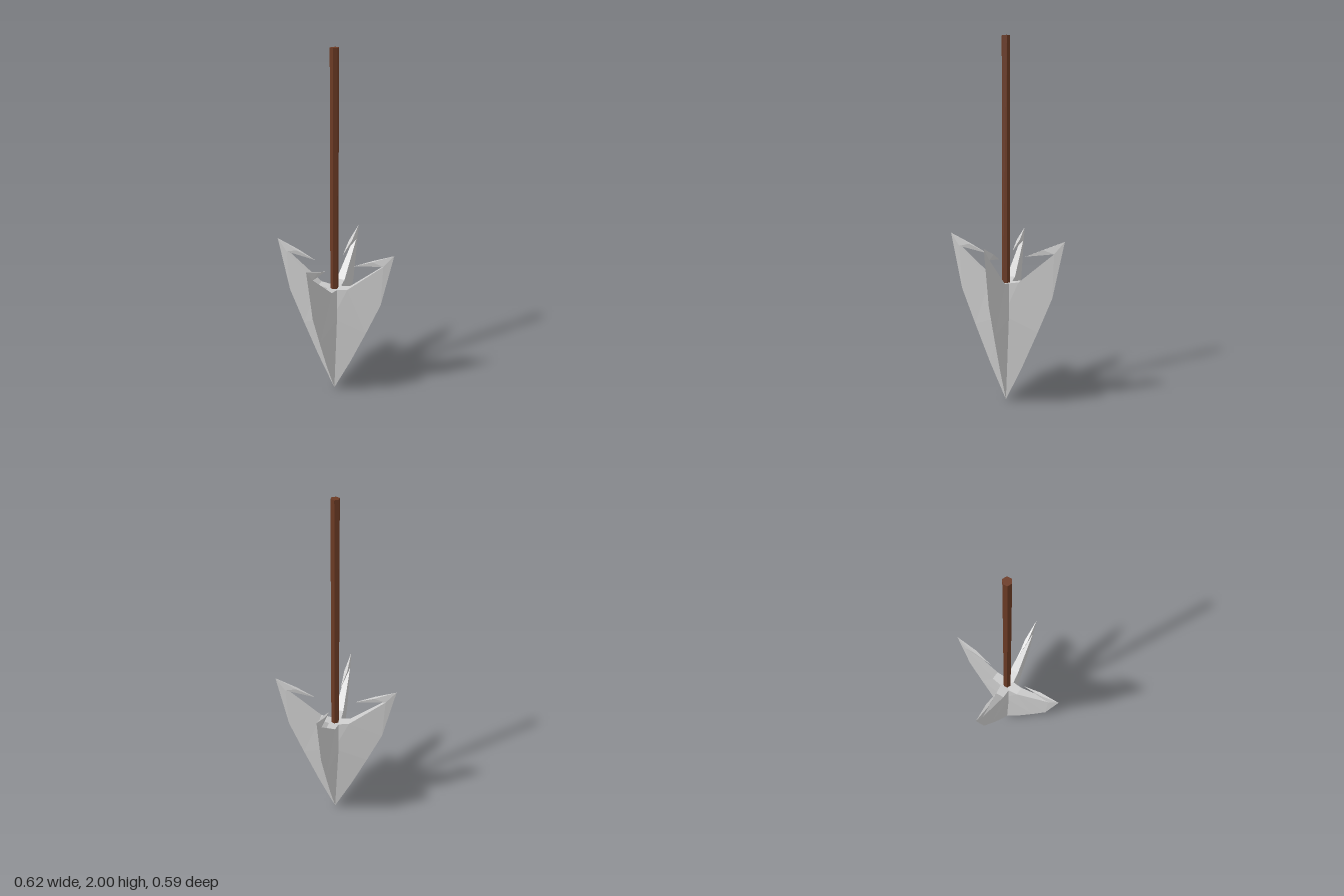
import * as THREE from 'three';

// Blade control points: [distance from axis, height, half thickness]
const POINTS = [
  [0, 0, 0],            // 0 lower tip
  [0.1, 0.21, 0],       // 1 cutting edge
  [0.19, 0.42, 0],      // 2
  [0.272, 0.62, 0],     // 3 shoulder
  [0.339, 0.935, 0],    // 4 upper tip
  [0.22, 0.882, 0.009], // 5 barb back
  [0.113, 0.835, 0],    // 6 barb tip
  [0.283, 0.865, 0.009],// 7 notch
  [0.085, 0.695, 0.024],// 8 inner edge
  [0, 0.68, 0.03],      // 9 socket rim
  [0, 0.5, 0.032],      // 10 bulge
];
const FACES = [
  [0, 1, 10], [1, 2, 10], [2, 8, 10], [2, 3, 8], [3, 7, 8],
  [3, 4, 7], [4, 5, 7], [5, 6, 7], [8, 9, 10],
];
const RIM = [4, 5, 6, 7, 8, 9]; // edges that carry a wall between both sides

function bladeGeometry() {
  const positions = [];
  const add = (i, side) => {
    const [r, y, t] = POINTS[i];
    positions.push(r, y, t * side);
  };
  // Two mirrored sides
  for (const [a, b, c] of FACES) {
    add(a, 1); add(b, 1); add(c, 1);
    add(a, -1); add(c, -1); add(b, -1);
  }
  // Wall along the barb and the inner edge
  for (let i = 0; i < RIM.length - 1; i++) {
    const a = RIM[i], b = RIM[i + 1];
    add(b, 1); add(a, 1); add(a, -1);
    add(b, 1); add(a, -1); add(b, -1);
  }
  const geometry = new THREE.BufferGeometry();
  geometry.setAttribute('position', new THREE.Float32BufferAttribute(positions, 3));
  geometry.computeVertexNormals();
  return geometry;
}

export function createModel() {
  const model = new THREE.Group();
  model.name = 'barbedArrow';

  const metal = new THREE.MeshStandardMaterial({ color: 0xcccccc, flatShading: true, side: THREE.DoubleSide });
  const wood = new THREE.MeshStandardMaterial({ color: 0x6b3a24, flatShading: true });

  // Hexagonal shaft
  const shaft = new THREE.Mesh(new THREE.CylinderGeometry(0.023, 0.023, 1.38, 6), wood);
  shaft.name = 'shaft';
  shaft.position.y = 1.31;
  model.add(shaft);

  // Four barbed blades, two crossing pairs
  const head = new THREE.Group();
  head.name = 'arrowHead';
  const geometry = bladeGeometry();
  [23.8, 118.8, 203.8, 298.8].forEach((angle, i) => {
    const blade = new THREE.Mesh(geometry, metal);
    blade.name = `blade${i + 1}`;
    blade.rotation.y = THREE.MathUtils.degToRad(angle);
    head.add(blade);
  });
  model.add(head);

  return model;
}
